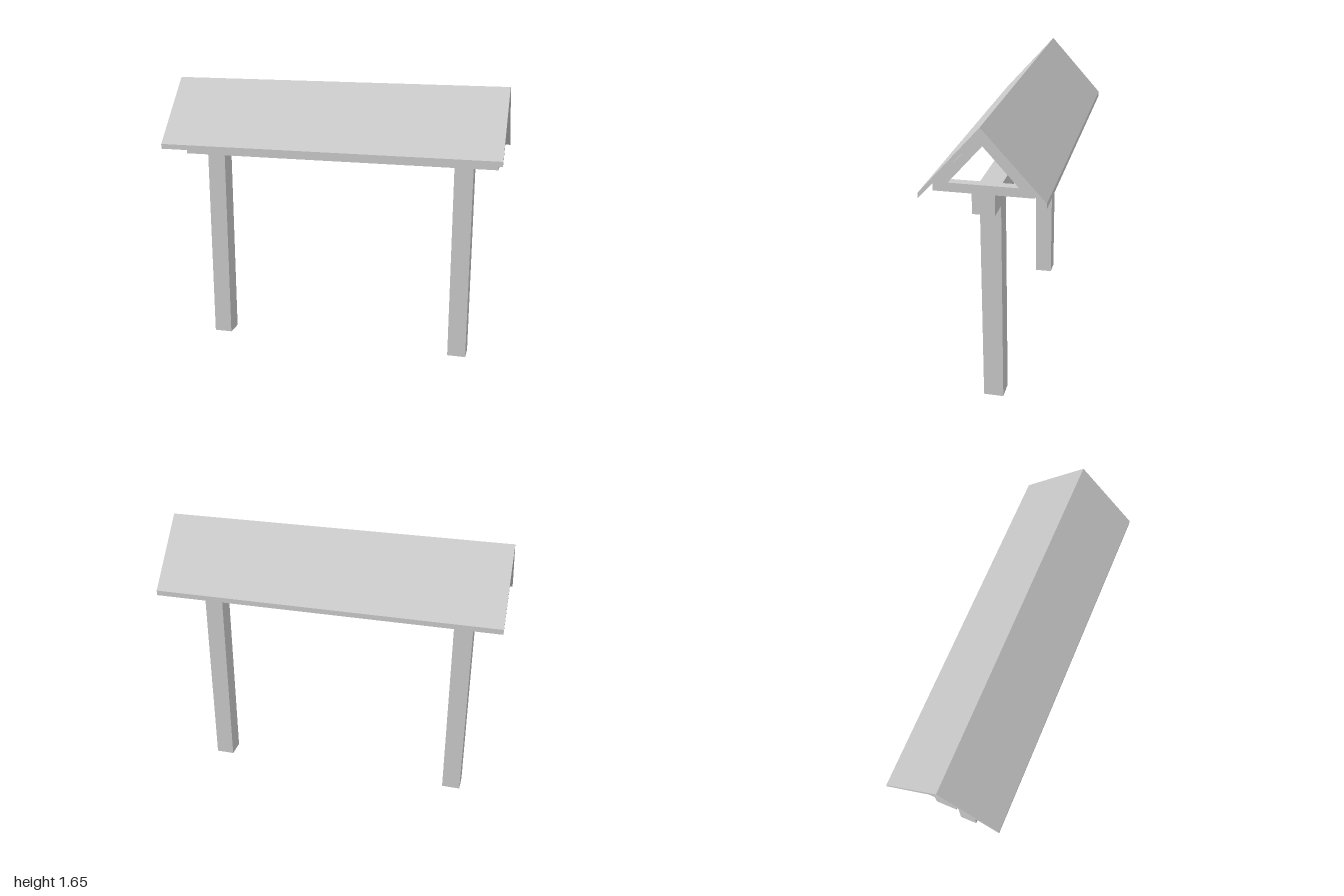
import * as THREE from 'three';

const material = new THREE.MeshStandardMaterial({ color: 0xcccccc, flatShading: true });
const openMaterial = new THREE.MeshStandardMaterial({ color: 0xcccccc, flatShading: true, side: THREE.DoubleSide });

// Box given by its centre x, its y range and its sizes along x and z
function block(name, x, y0, y1, width, depth) {
  const mesh = new THREE.Mesh(new THREE.BoxGeometry(width, y1 - y0, depth), material);
  mesh.position.set(x, (y0 + y1) / 2, 0);
  mesh.name = name;
  return mesh;
}

// Gable-end profile of [z, y] points, extruded along x about a centre
function gablePiece(name, points, x, length) {
  const shape = new THREE.Shape(points.map(([z, y]) => new THREE.Vector2(-z, y)));
  const geometry = new THREE.ExtrudeGeometry(shape, { depth: length, bevelEnabled: false });
  geometry.translate(0, 0, -length / 2);
  geometry.rotateY(Math.PI / 2);
  const mesh = new THREE.Mesh(geometry, material);
  mesh.position.x = x;
  mesh.name = name;
  return mesh;
}

// Post with an open foot
function post(x) {
  const mesh = block('post', x, 0, 1.18, 0.11, 0.112);
  const index = Array.from(mesh.geometry.index.array);
  index.splice(18, 6); // drop the bottom face
  mesh.geometry.setIndex(index);
  mesh.material = openMaterial;
  return mesh;
}

export function createModel() {
  const model = new THREE.Group();
  model.name = 'gabledShelter';

  // Long beam resting on the posts, and the ridge beam under the roof
  model.add(block('mainBeam', 0, 1.18, 1.29, 1.92, 0.118));
  model.add(gablePiece('ridgeBeam',
    [[-0.033, 1.54], [0.033, 1.54], [0.033, 1.572], [0, 1.607], [-0.033, 1.572]], 0, 1.92));

  // Posts and end trusses
  for (const side of [-1, 1]) {
    model.add(post(side * 0.765));

    const truss = new THREE.Group();
    truss.name = 'endTruss';
    truss.add(block('tieBeam', side * 0.935, 1.29, 1.338, 0.05, 0.516));
    for (const s of [-1, 1]) {
      truss.add(gablePiece('rafter',
        [[0, 1.605], [s * 0.248, 1.338], [s * 0.18, 1.338], [0, 1.54]], side * 0.935, 0.05));
    }
    model.add(truss);
  }

  // Two sloping roof panels meeting at the ridge
  for (const s of [-1, 1]) {
    model.add(gablePiece('roofPanel',
      [[0, 1.647], [s * 0.325, 1.287], [s * 0.325, 1.258], [0, 1.608]], 0, 2));
  }
  return model;
}
